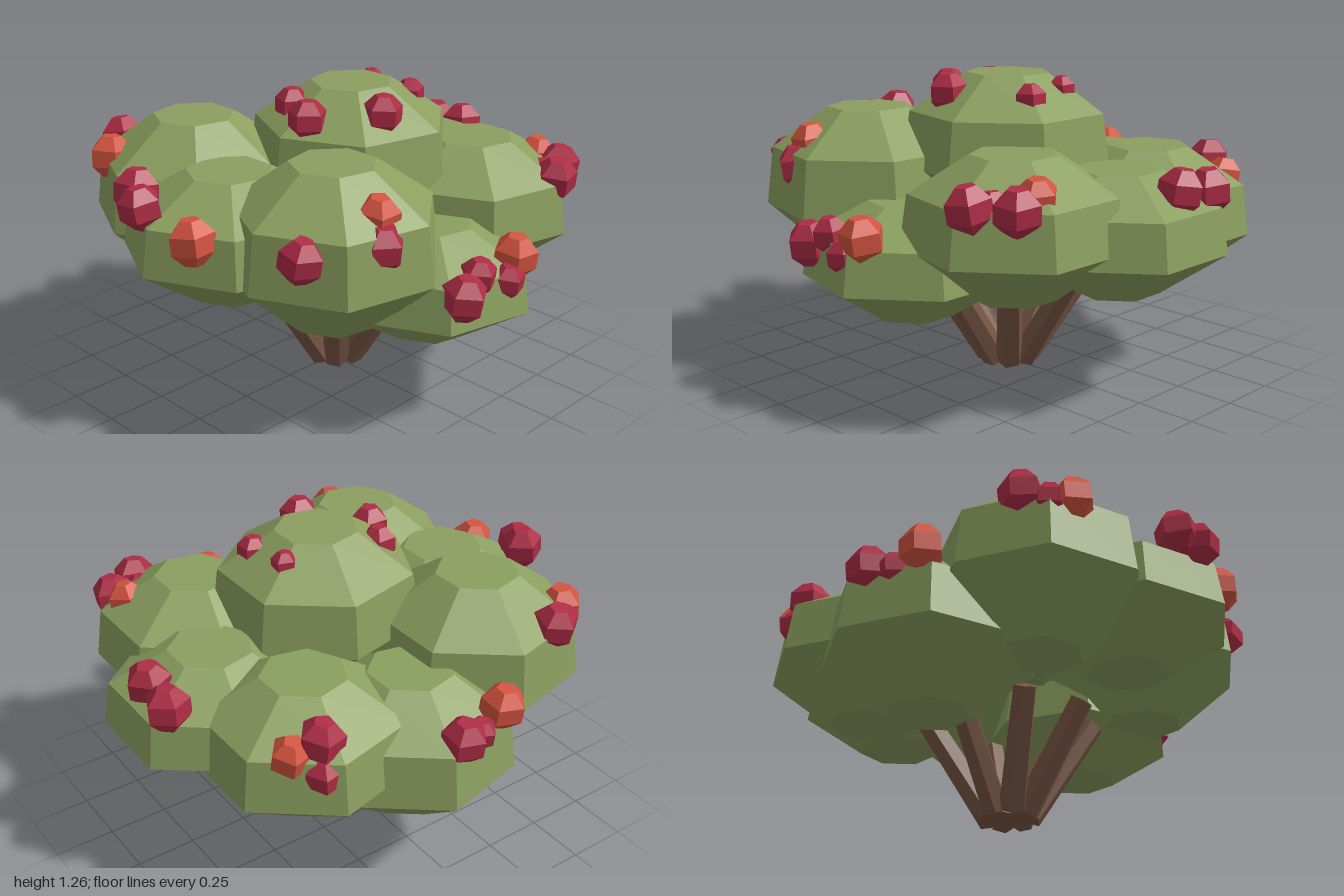
import * as THREE from 'three';

const mat = (name, color) => {
  const m = new THREE.MeshStandardMaterial({ color });
  m.name = name;
  return m;
};

// Faceted solid of revolution with hard edges; profile runs bottom to top
function faceted(profile, sides) {
  const pts = profile.map(([r, y]) => new THREE.Vector2(r, y));
  const g = new THREE.LatheGeometry(pts, sides, -Math.PI / 2).toNonIndexed();
  g.computeVertexNormals();
  return g;
}

export function createModel() {
  const leaf = mat('leaf green', 0x8b9f5f);
  const bark = mat('bark brown', 0x785644);
  const red = mat('berry red', 0xad2c45);
  const orange = mat('berry orange', 0xd3533f);

  const bush = new THREE.Group();
  bush.name = 'berryBush';
  const add = (name, geometry, material, parent = bush) => {
    const m = new THREE.Mesh(geometry, material);
    m.name = name;
    parent.add(m);
    return m;
  };

  // Foliage clumps: seven-sided domes of unit height, stretched between bottom and top
  const clumpShape = faceted(
    [[0, 0], [0.17, 0], [0.43, 0.37], [0.4, 0.74], [0.17, 1], [0, 1]], 7);
  const clumps = [
    // name, x, z, bottom, top
    ['crown', 0.07, 0.05, 0.66, 1.25],
    ['frontLeft', 0.44, 0.39, 0.46, 1.01],
    ['frontRight', -0.39, 0.4, 0.465, 1.1],
    ['backLeft', 0.44, -0.4, 0.385, 0.94],
    ['backRight', -0.39, -0.4, 0.47, 1.11],
    ['front', 0.02, 0.53, 0.335, 0.79],
    ['back', 0.04, -0.53, 0.29, 0.88],
    ['left', 0.61, -0.01, 0.435, 0.92],
    ['right', -0.55, 0, 0.51, 1.01],
  ];
  for (const [name, x, z, bottom, top] of clumps) {
    const clump = add(name + 'Foliage', clumpShape, leaf);
    clump.position.set(x, bottom, z);
    clump.scale.y = top - bottom;
  }

  // Branches fanning out from the base
  const branches = new THREE.Group();
  branches.name = 'branches';
  bush.add(branches);
  const up = new THREE.Vector3(0, 1, 0);
  for (let i = 0; i < 8; i++) {
    const a = (i / 8) * Math.PI * 2;
    const at = (r, y) => new THREE.Vector3(0.03 + Math.cos(a) * r, y, Math.sin(a) * r);
    const from = at(0.085, 0.03), to = at(0.36, 0.45);
    const dir = to.clone().sub(from);
    const len = dir.length();
    const branch = add('branch', faceted(
      [[0, 0], [0.058, 0], [0.05, len], [0, len]], 6), bark, branches);
    branch.position.copy(from);
    branch.quaternion.setFromUnitVectors(up, dir.normalize());
  }

  // Berries: five-sided faceted beads, each tilted differently
  const berryShape = faceted(
    [[0, -0.085], [0.04, -0.085], [0.088, -0.035], [0.088, 0.035], [0.04, 0.085], [0, 0.085]], 5);
  const redBerries = [
    // x, y, z, scale
    [0.06, 0.76, -0.88, 1], [-0.04, 0.74, -0.86, 0.7],
    [-0.52, 0.97, -0.72, 1], [-0.61, 0.93, -0.67, 0.8],
    [-0.87, 0.97, -0.155, 1], [-0.92, 0.94, -0.07, 0.95],
    [-0.72, 0.865, 0.57, 0.95], [-0.61, 0.9, 0.64, 0.5], [-0.46, 0.88, 0.71, 1],
    [-0.185, 0.64, 0.87, 1], [-0.08, 0.69, 0.85, 0.8], [0.05, 0.64, 0.89, 0.75],
    [0.555, 0.875, 0.73, 1], [0.7, 0.875, 0.64, 1], [0.58, 0.87, 0.64, 0.7],
    [0.9, 0.85, -0.19, 1], [0.89, 0.87, -0.03, 1],
    [0.555, 0.85, -0.68, 1], [0.57, 0.73, -0.72, 0.85],
    [-0.15, 1.17, -0.07, 0.8], [-0.23, 1.16, 0.1, 0.9], [-0.015, 1.18, 0.3, 0.9],
    [0.3, 1.17, 0.16, 0.7], [0.28, 1.19, -0.04, 0.6],
  ];
  const orangeBerries = [
    [-0.16, 0.8, -0.84, 1], [-0.67, 0.95, -0.6, 1], [-0.88, 0.865, 0.175, 1],
    [-0.43, 0.97, 0.66, 0.95], [0.125, 0.71, 0.86, 1], [0.69, 0.9, 0.53, 0.9],
    [0.66, 0.8, -0.64, 0.9],
  ];
  const addBerries = (name, list, material) => {
    const group = new THREE.Group();
    group.name = name;
    bush.add(group);
    list.forEach(([x, y, z, s], i) => {
      const berry = add('berry', berryShape, material, group);
      berry.position.set(x, y, z);
      berry.rotation.set(0.15 * z, i * 2.4, -0.15 * x);
      berry.scale.setScalar(s);
    });
  };
  addBerries('redBerries', redBerries, red);
  addBerries('orangeBerries', orangeBerries, orange);

  return bush;
}
